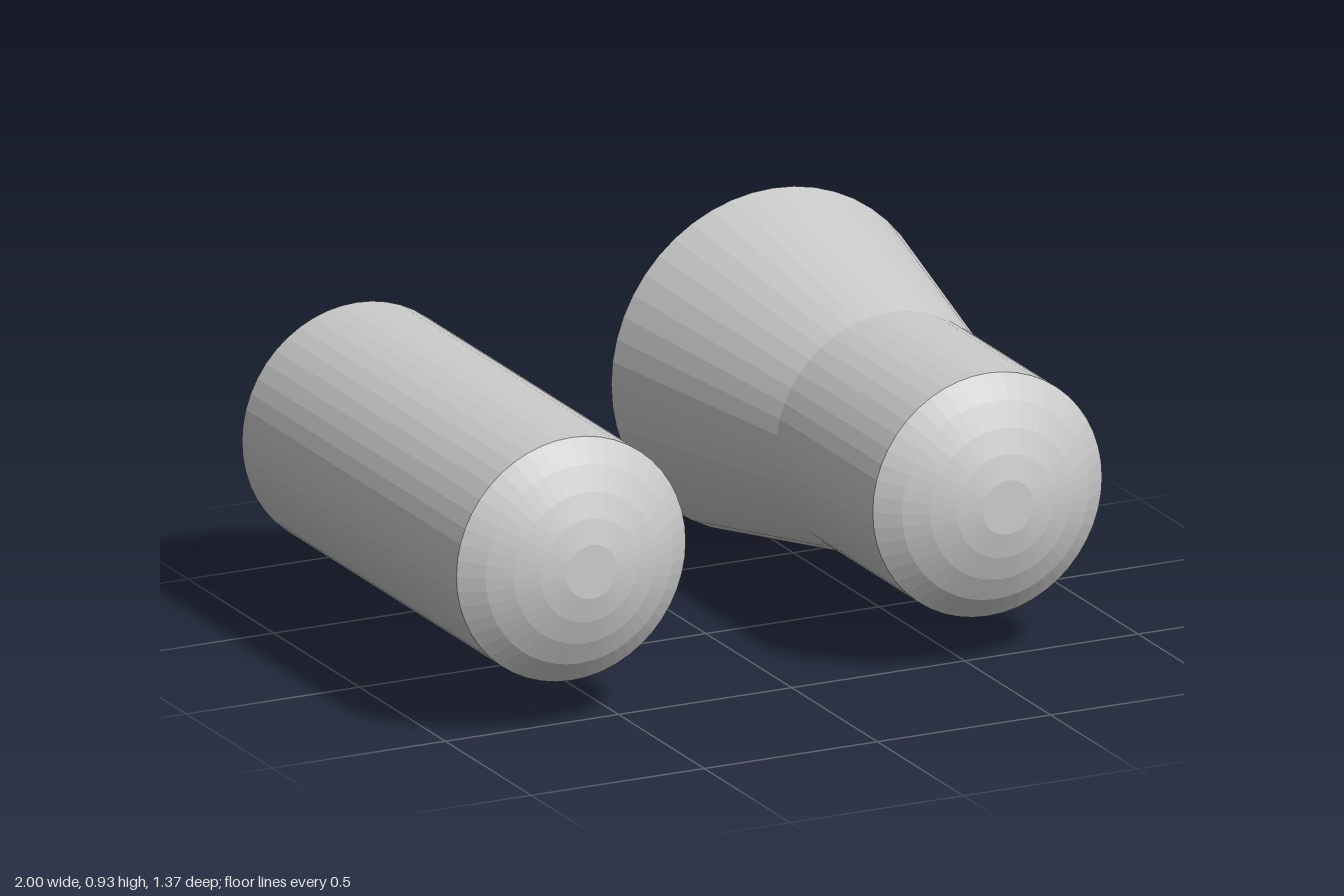
import * as THREE from 'three';

const BACK = -0.685, SHOULDER = 0.565, RADIUS = 0.331, AXIS_Y = 0.467, SIDES = 48;
const material = new THREE.MeshStandardMaterial({ color: 0xcccccc, flatShading: true });

// Turns a profile of [radius, z] pairs around the z axis
function turned(name, profile, sides = SIDES) {
  const geometry = new THREE.LatheGeometry(profile.map(([r, z]) => new THREE.Vector2(r, z)), sides);
  geometry.rotateX(Math.PI / 2);
  const mesh = new THREE.Mesh(geometry, material);
  mesh.name = name;
  return mesh;
}

function createPlug(name, x, backRadius) {
  const plug = new THREE.Group();
  plug.name = name;

  // Blind bore with a rounded lip at the open back end
  const boreRadius = 0.2, fillet = 0.022;
  const bore = [[0, 0.3], [boreRadius, 0.3]];
  for (let i = 0; i <= 5; i++) {
    const a = (i / 5) * Math.PI / 2;
    bore.push([boreRadius + fillet * (1 - Math.cos(a)), BACK + fillet * (1 - Math.sin(a))]);
  }
  plug.add(turned('bore', bore));

  // Flat back ring
  plug.add(turned('backFace', [[boreRadius + fillet, BACK], [backRadius, BACK]]));

  // Outer wall, straight at the front and straight or flared at the back
  plug.add(turned('body', [[backRadius, BACK], [RADIUS, 0], [RADIUS, SHOULDER]]));

  // Shallow faceted dome with a small flat tip
  const domeRadius = 0.514, centre = 0.69 - domeRadius;
  const dome = [RADIUS, 0.27, 0.205, 0.14, 0.073].map(
    r => [r, centre + Math.sqrt(domeRadius ** 2 - r ** 2)]);
  dome[0][1] = SHOULDER;
  dome[4][1] = 0.685;
  dome.push([0, 0.685]);
  plug.add(turned('domedEnd', dome, 24 * 2));

  plug.position.set(x, AXIS_Y, 0);
  return plug;
}

export function createModel() {
  const model = new THREE.Group();
  model.name = 'plugPair';
  model.add(createPlug('straightPlug', -0.669, RADIUS));
  model.add(createPlug('flaredPlug', 0.533, 0.467));
  return model;
}
